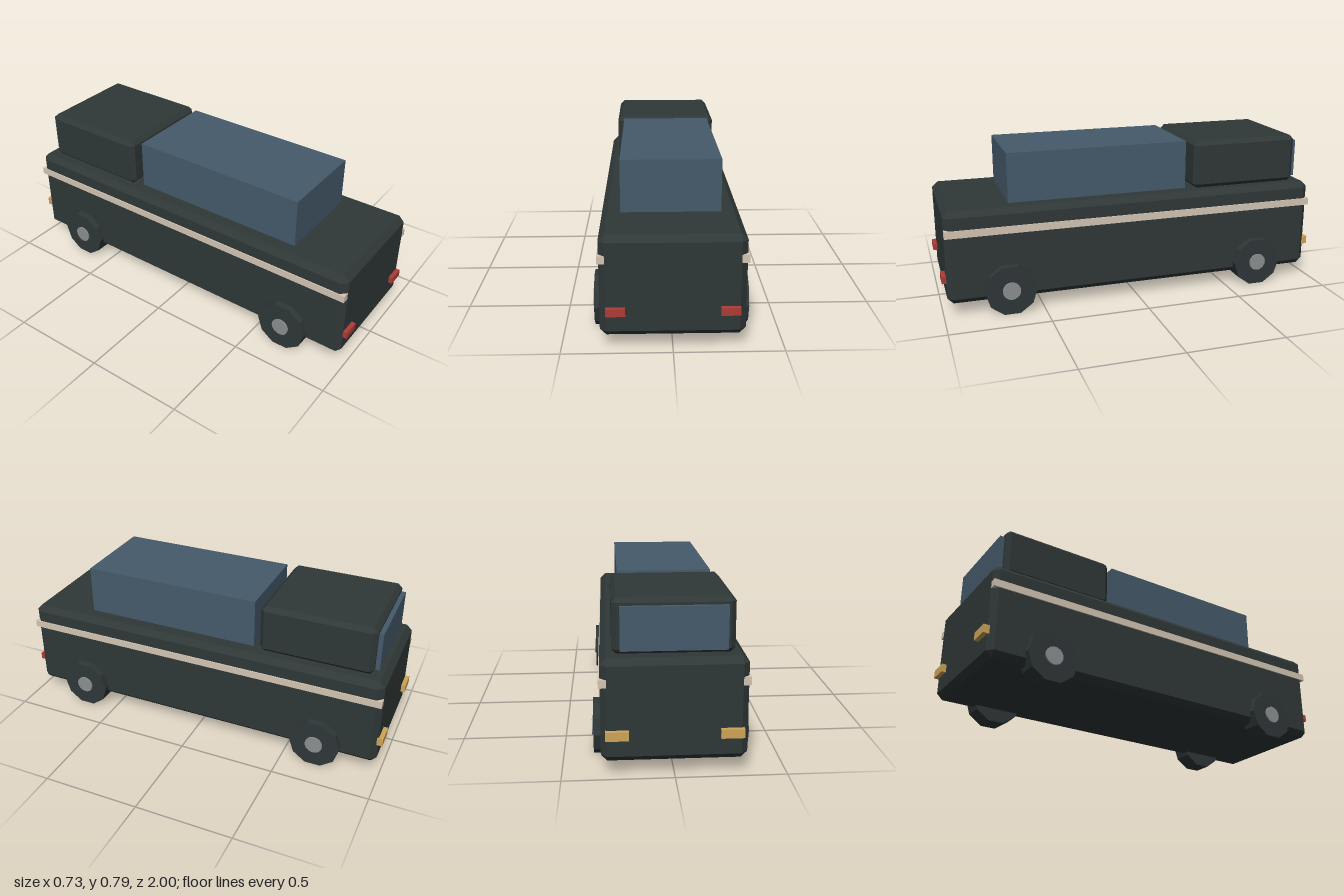
import * as THREE from 'three';
import { ConvexGeometry } from 'three/addons/geometries/ConvexGeometry.js';

function material(name, color) {
  const m = new THREE.MeshStandardMaterial({ color });
  m.name = name;
  return m;
}

// Box with every edge cut by a single flat chamfer
function chamferBox(w, h, d, c) {
  const points = [];
  for (const sx of [-1, 1]) for (const sy of [-1, 1]) for (const sz of [-1, 1]) {
    for (let axis = 0; axis < 3; axis++) {
      const inset = [0, 1, 2].map((i) => (i === axis ? 0 : c));
      points.push(new THREE.Vector3(
        sx * (w / 2 - inset[0]), sy * (h / 2 - inset[1]), sz * (d / 2 - inset[2])));
    }
  }
  return new ConvexGeometry(points);
}

export function createModel() {
  const model = new THREE.Group();
  model.name = 'van';

  const paint = material('dark green paint', 0x2f3837);
  const rubber = material('tyre rubber', 0x2f3738);
  const glass = material('blue glass', 0x455a6b);
  const cream = material('cream trim', 0xd4c6b4);
  const red = material('red lamp', 0xad3c36);
  const amber = material('amber lamp', 0xcfa557);
  const steel = material('hub steel', 0x8c8f90);

  function add(name, geometry, mat, x, y, z) {
    const mesh = new THREE.Mesh(geometry, mat);
    mesh.name = name;
    mesh.position.set(x, y, z);
    model.add(mesh);
    return mesh;
  }

  // Hull, rear cabin and glass
  add('body', chamferBox(0.65, 0.472, 1.956, 0.029), paint, 0, 0.304, 0);
  add('cabin', chamferBox(0.542, 0.252, 0.58, 0.022), paint, 0, 0.665, -0.617);
  add('glasshouse', new THREE.BoxGeometry(0.47, 0.252, 0.94), glass, 0, 0.665, 0.181);
  add('rearWindow', new THREE.BoxGeometry(0.47, 0.196, 0.04), glass, 0, 0.659, -0.91);

  // Belt line wrapping both sides
  add('beltStripe', new THREE.BoxGeometry(0.662, 0.037, 1.955), cream, 0, 0.432, 0);

  // Ten-sided tyres with small round hubs
  const tyre = new THREE.CylinderGeometry(0.131, 0.131, 0.1, 10).rotateZ(Math.PI / 2).toNonIndexed();
  tyre.computeVertexNormals();
  const hub = new THREE.CylinderGeometry(0.045, 0.045, 0.11, 20).rotateZ(Math.PI / 2);

  for (const side of [-1, 1]) {
    const label = side > 0 ? 'left' : 'right';
    for (const z of [0.67, -0.67]) {
      const end = z > 0 ? 'Front' : 'Rear';
      add(`${label}${end}Tyre`, tyre, rubber, side * 0.309, 0.125, z);
      add(`${label}${end}Hub`, hub, steel, side * 0.312, 0.125, z);
    }
    // Lamps
    add(`${label}RedLamp`, new THREE.BoxGeometry(0.087, 0.036, 0.03), red, side * 0.253, 0.194, 0.985);
    add(`${label}AmberLamp`, new THREE.BoxGeometry(0.104, 0.042, 0.03), amber, side * 0.253, 0.199, -0.985);
  }
  return model;
}
